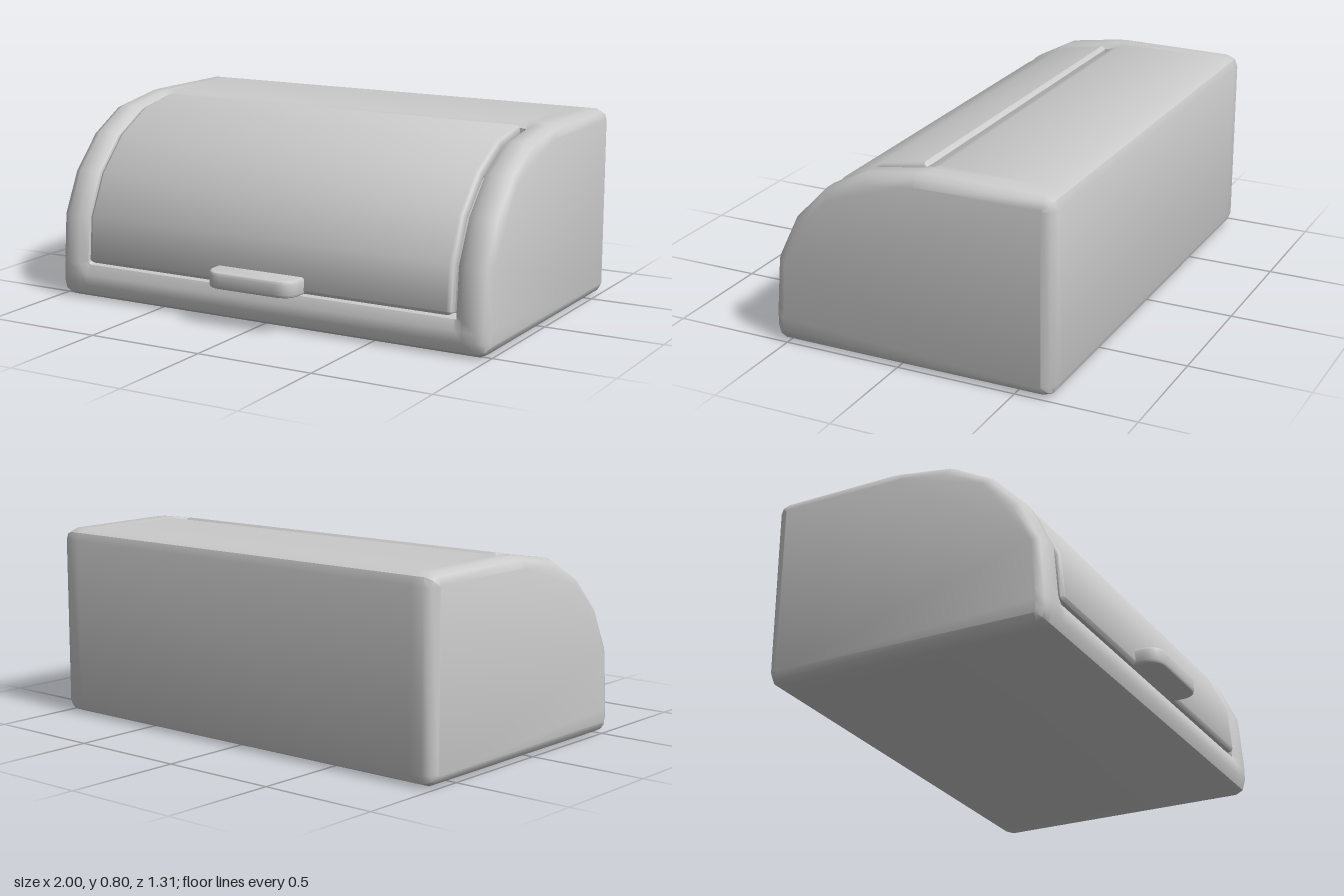
import * as THREE from 'three';
import { toCreasedNormals } from 'three/addons/utils/BufferGeometryUtils.js';

// Body side profile as [z, y, opening depth], running over the top, down the front and back underneath
const BODY = [
  [-0.655, 0.75, 0], [-0.642, 0.785, 0], [-0.605, 0.8, 0], [-0.13, 0.804, 0],
  [-0.085, 0.802, 0.02], [-0.072, 0.8, 0.08], [0.14, 0.768, 0.08], [0.315, 0.675, 0.08],
  [0.455, 0.53, 0.08], [0.54, 0.355, 0.08], [0.557, 0.157, 0.08], [0.558, 0.145, 0.02],
  [0.56, 0.105, 0], [0.56, 0.06, 0], [0.546, 0.018, 0], [0.51, 0, 0],
  [-0.605, 0, 0], [-0.642, 0.015, 0], [-0.655, 0.05, 0],
];

// Door profile: outer curve, then inner curve back
const DOOR = [
  [-0.066, 0.785], [-0.05, 0.8], [0.14, 0.767], [0.314, 0.674], [0.454, 0.53], [0.539, 0.355],
  [0.554, 0.172], [0.543, 0.157],
  [0.5, 0.16], [0.49, 0.34], [0.41, 0.5], [0.28, 0.63], [0.12, 0.715], [-0.06, 0.745],
];

// Moves each profile point inwards by a distance given per point
function offset(profile, distance) {
  const n = profile.length;
  return profile.map((p, i) => {
    const a = profile[(i + n - 1) % n], b = profile[(i + 1) % n];
    const dz = b[0] - a[0], dy = b[1] - a[1], len = Math.hypot(dz, dy), d = distance(p);
    return [p[0] + (dy / len) * d, p[1] - (dz / len) * d];
  });
}

// Skins closed sections { x, points } ordered from -x to +x and caps both ends
function loft(sections, crease) {
  const n = sections[0].points.length, pos = [], index = [];
  for (const s of sections) for (const [z, y] of s.points) pos.push(s.x, y, z);
  for (let i = 0; i < sections.length - 1; i++) {
    for (let j = 0; j < n; j++) {
      const k = (j + 1) % n, a = i * n + j, b = i * n + k;
      index.push(a, b, b + n, a, b + n, a + n);
    }
  }
  [0, sections.length - 1].forEach((i, end) => {
    const { x, points } = sections[i];
    const contour = points.map(([z, y]) => new THREE.Vector2(-z, y));
    for (const [a, b, c] of THREE.ShapeUtils.triangulateShape(contour, [])) {
      // Orient every cap triangle outwards along x
      const A = contour[a], B = contour[b], C = contour[c];
      const ccw = (B.x - A.x) * (C.y - A.y) - (B.y - A.y) * (C.x - A.x) > 0;
      const tri = ccw === (end === 1) ? [a, b, c] : [a, c, b];
      index.push(...tri.map((t) => t + i * n));
    }
  });
  const geo = new THREE.BufferGeometry();
  geo.setAttribute('position', new THREE.Float32BufferAttribute(pos, 3));
  geo.setIndex(index);
  return toCreasedNormals(geo, crease);
}

// Mirrors a list of sections given from the right-hand end inwards
const mirrored = (half) => [
  ...half.map((s) => ({ x: -s.x, points: s.points })),
  ...half.slice().reverse(),
];

export function createModel() {
  const group = new THREE.Group();
  const material = new THREE.MeshStandardMaterial({ color: 0xcccccc });
  const add = (name, geo) => {
    const mesh = new THREE.Mesh(geo, material);
    mesh.name = name;
    group.add(mesh);
    return mesh;
  };

  // Body: rounded outer ends, then a soft rim dropping into the door opening
  const ends = [[1, 0.045], [0.985, 0.015], [0.955, 0]]
    .map(([x, inset]) => ({ x, points: offset(BODY, () => inset) }));
  const rim = [[0.9, 0], [0.866, 0.02], [0.854, 0.08]]
    .map(([x, depth]) => ({ x, points: offset(BODY, (p) => Math.min(p[2], depth)) }));
  add('body', loft(mirrored([...ends, ...rim]), 0.75));

  // Curved door filling the opening
  const door = [[0.85, 0.014], [0.845, 0.005], [0.832, 0]]
    .map(([x, inset]) => ({ x, points: offset(DOOR, () => inset) }));
  add('door', loft(mirrored(door), 0.75));

  // Handle: tab with rounded front corners and softened edges
  const b = 0.012, w = 0.205 - b, front = 0.655 - b, r = 0.065;
  const tab = new THREE.Shape();
  tab.moveTo(-w, -0.5);
  tab.lineTo(w, -0.5);
  tab.lineTo(w, -(front - r));
  tab.lineTo(w, -(front - r));
  const outline = new THREE.Shape();
  outline.moveTo(-w, 0.5);
  outline.lineTo(w, 0.5);
  outline.lineTo(w, front - r);
  outline.quadraticCurveTo(w, front, w - r, front);
  outline.lineTo(-w + r, front);
  outline.quadraticCurveTo(-w, front, -w, front - r);
  outline.closePath();
  const handleGeo = new THREE.ExtrudeGeometry(outline, {
    depth: 0.07 - 2 * b, bevelThickness: b, bevelSize: b, bevelSegments: 3, curveSegments: 6,
  });
  handleGeo.rotateX(Math.PI / 2);
  handleGeo.translate(0, 0.225 - b, 0);
  add('handle', toCreasedNormals(handleGeo, 0.75));

  return group;
}
